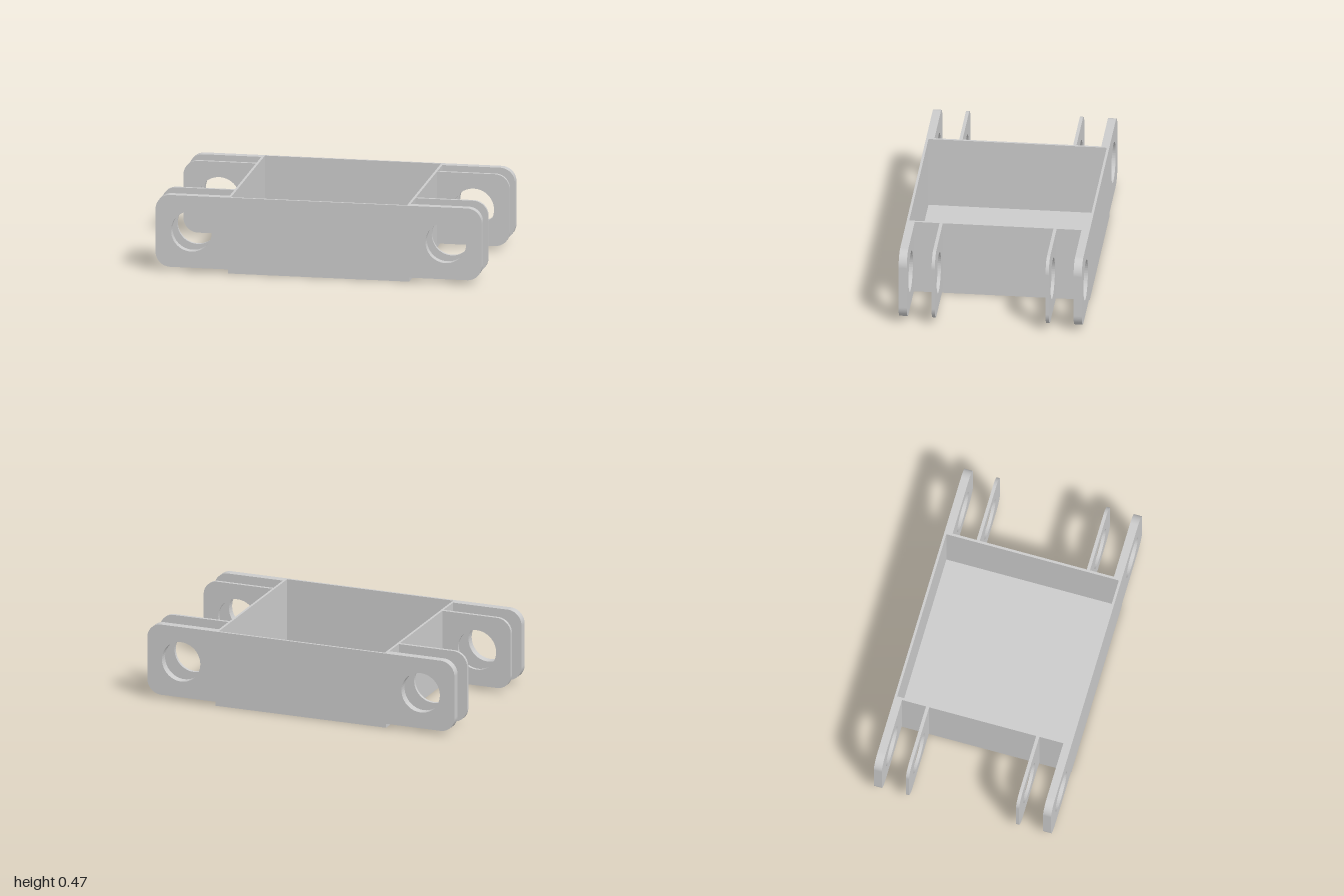
import * as THREE from 'three';

const HALF = 0.555, INNER = 0.54, TOP = 0.47, FLOOR = 0.025, END = 1, R = 0.09;
const HOLE = { x: 0.78, y: 0.25, r: 0.125 };

// Side plate outline: square where it meets the box, rounded at the free end, with a pin hole
function lugShape() {
  const s = new THREE.Shape();
  s.moveTo(HALF, FLOOR);
  s.lineTo(END - R, FLOOR);
  s.absarc(END - R, FLOOR + R, R, -Math.PI / 2, 0, false);
  s.lineTo(END, TOP - R);
  s.absarc(END - R, TOP - R, R, 0, Math.PI / 2, false);
  s.lineTo(HALF, TOP);
  s.closePath();
  const hole = new THREE.Path();
  hole.absarc(HOLE.x, HOLE.y, HOLE.r, 0, Math.PI * 2, true);
  s.holes.push(hole);
  return s;
}

export function createModel() {
  const group = new THREE.Group();
  const material = new THREE.MeshStandardMaterial({ color: 0xcccccc });
  const add = (name, geometry, x = 0, y = 0, z = 0, turn = 0) => {
    const mesh = new THREE.Mesh(geometry, material);
    mesh.name = name;
    mesh.position.set(x, y, z);
    mesh.rotation.y = turn;
    group.add(mesh);
  };

  // Open tray: floor and a thin square wall
  add('trayFloor', new THREE.BoxGeometry(2 * HALF, FLOOR, 2 * HALF), 0, FLOOR / 2, 0);
  const square = (Path, h) => new Path([[-h, -h], [h, -h], [h, h], [-h, h]].map(p => new THREE.Vector2(...p)));
  const ring = square(THREE.Shape, HALF);
  ring.holes.push(square(THREE.Path, INNER));
  const wall = new THREE.ExtrudeGeometry(ring, { depth: TOP - FLOOR, bevelEnabled: false });
  wall.rotateX(-Math.PI / 2);
  add('trayWall', wall, 0, FLOOR, 0);

  // Lugs on both ends: thick outer and thin inner pairs
  const shape = lugShape();
  const lugs = [['outerLug', 0.53, 0.05], ['innerLug', 0.345, 0.02]];
  for (const [name, z, thickness] of lugs) {
    const geometry = new THREE.ExtrudeGeometry(shape, { depth: thickness, bevelEnabled: false, curveSegments: 24 });
    geometry.translate(0, 0, -thickness / 2);
    for (const [end, turn] of [['Left', 0], ['Right', Math.PI]]) {
      add(name + 'Front' + end, geometry, 0, 0, z, turn);
      add(name + 'Back' + end, geometry, 0, 0, -z, turn);
    }
  }
  return group;
}
